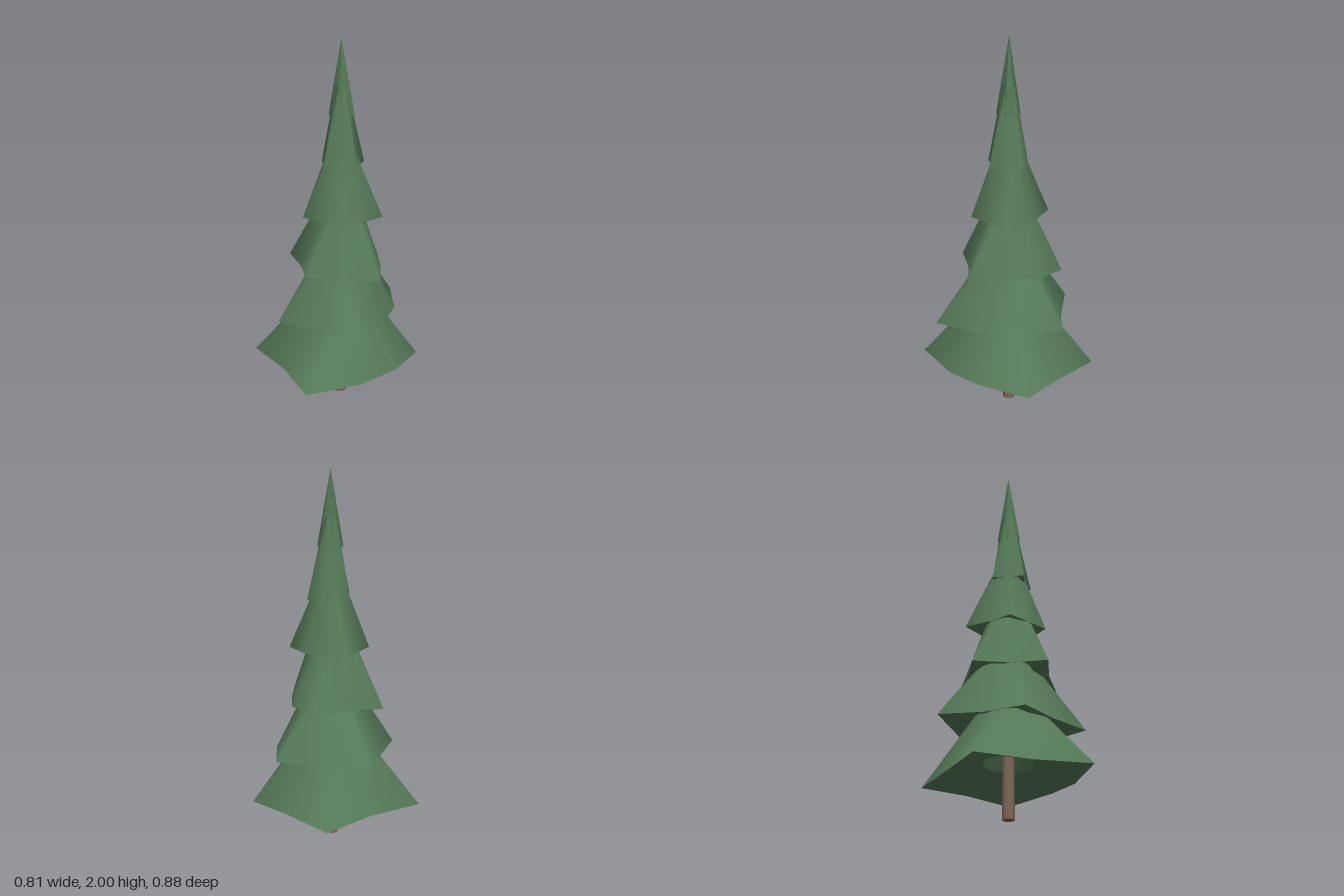
import * as THREE from 'three';

const foliage = new THREE.MeshStandardMaterial({ color: 0x567b59, side: THREE.DoubleSide });
foliage.name = 'pineGreen';
const bark = new THREE.MeshStandardMaterial({ color: 0x7d6758 });
bark.name = 'barkBrown';

const SIDES = 9;

// Each tier: start angle (degrees), radii and heights of the five hem points,
// radius and height of the four dips between them, then the top ring
const TIERS = [
  { start: 0, points: [0.355, 0.49, 0.484, 0.455, 0.43], heights: [0.225, 0.215, 0.205, 0.195, 0.2],
    dip: 0.345, dipY: 0.21, top: 0.62, topR: 0.13 },
  { start: 326, points: [0.295, 0.405, 0.36, 0.394, 0.38], heights: [0.5, 0.49, 0.485, 0.51, 0.505],
    dip: 0.28, dipY: 0.485, top: 0.9, topR: 0.1 },
  { start: 296, points: [0.24, 0.31, 0.297, 0.313, 0.284], heights: [0.77, 0.765, 0.785, 0.765, 0.77],
    dip: 0.215, dipY: 0.77, top: 1.18, topR: 0.085 },
  { start: 337, points: [0.224, 0.2, 0.205, 0.234, 0.165], heights: [1.05, 1.05, 1.05, 1.05, 1.05],
    dip: 0.155, dipY: 1.05, top: 1.45, topR: 0.055 },
  { start: 302, points: [0.136, 0.138, 0.138, 0.12, 0.107], heights: [1.33, 1.33, 1.33, 1.33, 1.33],
    dip: 0.09, dipY: 1.33, top: 1.76, topR: 0.03 },
  { start: 348, points: [0.075, 0.067, 0.065, 0.06, 0.06], heights: [1.6, 1.6, 1.6, 1.6, 1.6],
    dip: 0.043, dipY: 1.6, top: 2.0, topR: 0.001 },
];

// Surface between two rings of points, facing outward when the second is higher
function band(lower, upper) {
  const index = [];
  for (let i = 0; i < SIDES; i++) {
    const n = (i + 1) % SIDES;
    index.push(i, i + SIDES, n, n, i + SIDES, n + SIDES);
  }
  const geo = new THREE.BufferGeometry().setFromPoints([...lower, ...upper]);
  geo.setIndex(index);
  geo.computeVertexNormals();
  return geo;
}

// Star-hemmed skirt with a shallow underside that leaves a hole round the trunk
function makeTier({ start, points, heights, dip, dipY, top, topR }) {
  const ring = (radius, height) => Array.from({ length: SIDES }, (_, i) => {
    const a = THREE.MathUtils.degToRad(start + i * 360 / SIDES);
    return new THREE.Vector3(radius(i) * Math.cos(a), height(i), radius(i) * Math.sin(a));
  });
  const hem = ring(i => (i % 2 ? dip : points[i / 2]), i => (i % 2 ? dipY : heights[i / 2]));
  const tip = ring(() => topR, () => top);
  const hole = ring(() => dip * 0.4, () => dipY + dip * 0.25);

  const outer = new THREE.Mesh(band(hem, tip), foliage);
  outer.name = 'branches';
  const under = new THREE.Mesh(band(hole, hem), foliage);
  under.name = 'underside';
  return new THREE.Group().add(outer, under);
}

export function createModel() {
  const tree = new THREE.Group();
  tree.name = 'pineTree';

  // Trunk
  const trunk = new THREE.Mesh(new THREE.CylinderGeometry(0.031, 0.032, 0.6, 10), bark);
  trunk.name = 'trunk';
  trunk.position.y = 0.3;
  tree.add(trunk);

  // Branch tiers, bottom to top
  TIERS.forEach((spec, i) => {
    const tier = makeTier(spec);
    tier.name = `branchTier${i + 1}`;
    tree.add(tier);
  });

  // The uneven branches put the trunk slightly off centre
  tree.position.set(0.05, 0, -0.045);
  const model = new THREE.Group();
  model.name = 'model';
  model.add(tree);
  return model;
}
